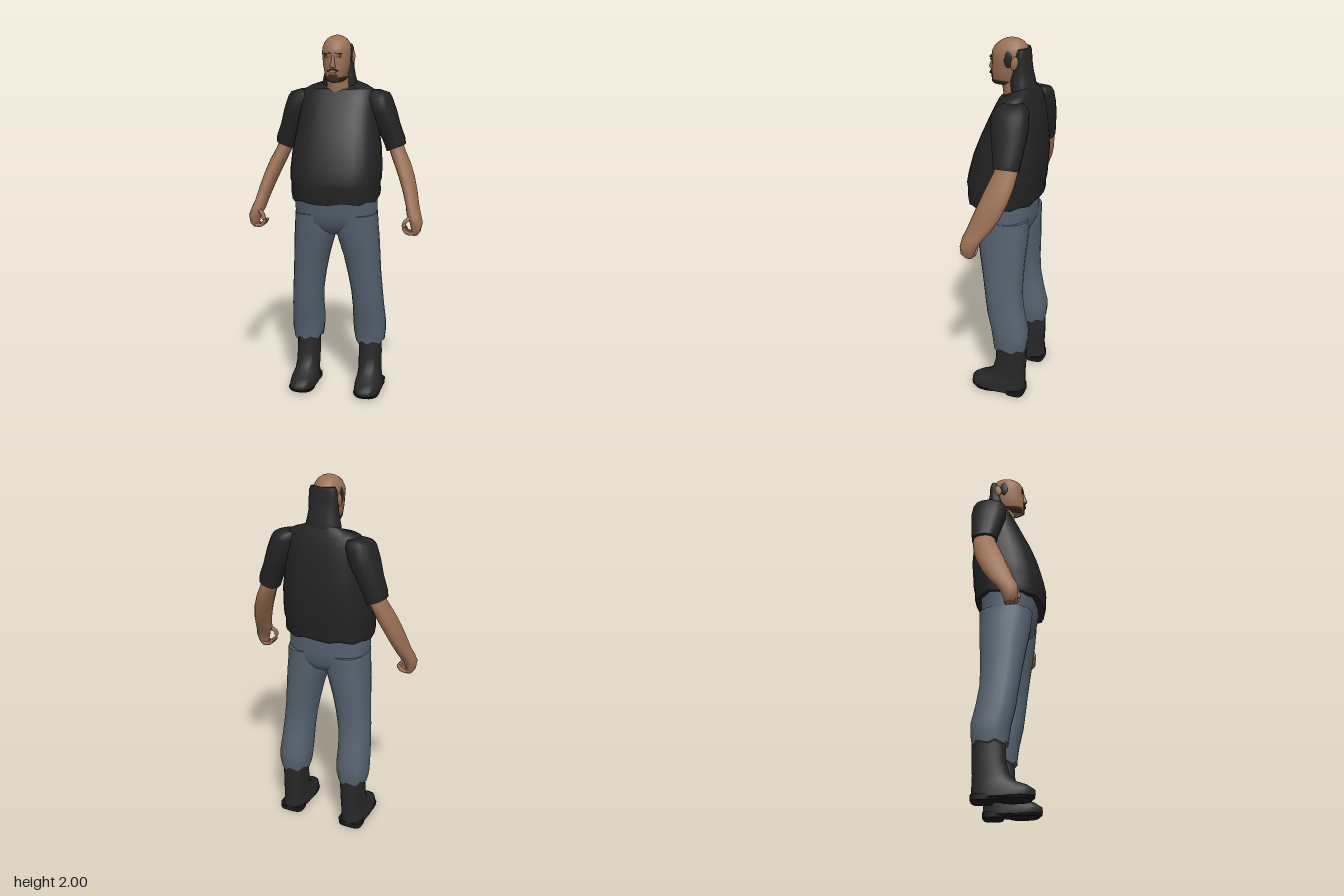
import * as THREE from 'three';

const mat = (name, color, side = THREE.FrontSide) => {
  const m = new THREE.MeshStandardMaterial({ color, side });
  m.name = name;
  return m;
};

// Skin over horizontal slices, listed bottom to top:
// [y, xMin, xMax, zBack, zFront, tiltX, tiltZ]. Angle 0 points to +z, then towards +x.
function loft(slices, { n = 20, power = 2, from = 0, arc = Math.PI * 2, jag = 0 } = {}) {
  const closed = arc > 6.28, cols = closed ? n : n + 1;
  const pos = [], idx = [];
  const bend = v => Math.sign(v) * Math.abs(v) ** (2 / power);
  slices.forEach(([y, x0, x1, z0, z1, tx = 0, tz = 0], r) => {
    for (let i = 0; i < cols; i++) {
      const a = from + arc * i / n, s = bend(Math.sin(a)), c = bend(Math.cos(a));
      const ragged = r === 0 ? jag * ((i * 2) % 3 - 1) : 0;
      pos.push((x0 + x1) / 2 + s * (x1 - x0) / 2, y + tx * s + tz * c + ragged, (z0 + z1) / 2 + c * (z1 - z0) / 2);
    }
  });
  for (let r = 0; r < slices.length - 1; r++) {
    for (let i = 0; i < n; i++) {
      const a = r * cols + i, b = r * cols + (i + 1) % cols, c = b + cols, d = a + cols;
      idx.push(a, b, c, a, c, d);
    }
  }
  // flat end caps with their own vertices
  if (closed) for (const r of [0, slices.length - 1]) {
    const [y, x0, x1, z0, z1] = slices[r], start = pos.length / 3;
    pos.push(...pos.slice(r * cols * 3, (r + 1) * cols * 3), (x0 + x1) / 2, y, (z0 + z1) / 2);
    for (let i = 0; i < n; i++) {
      const a = start + i, b = start + (i + 1) % n;
      idx.push(...(r ? [a, b, start + n] : [b, a, start + n]));
    }
  }
  const g = new THREE.BufferGeometry();
  g.setAttribute('position', new THREE.Float32BufferAttribute(pos, 3));
  g.setIndex(idx);
  g.computeVertexNormals();
  return g;
}

export function createModel() {
  const skin = mat('skin', 0x9a7054);
  const shirt = mat('black shirt', 0x232323);
  const denim = mat('blue denim', 0x55626f);
  const leather = mat('boot leather', 0x272727);
  const soleMat = mat('boot sole', 0x181818);
  const hair = mat('dark hair', 0x272626, THREE.DoubleSide);
  const beard = mat('beard', 0x3b2e27, THREE.DoubleSide);
  const lip = mat('lips and eye sockets', 0x6b4939);

  const model = new THREE.Group();
  model.name = 'standingMan';
  const add = (name, geometry, material, parent = model) => {
    const m = new THREE.Mesh(geometry, material);
    m.name = name;
    parent.add(m);
    return m;
  };
  const ball = (name, material, p, s) => {
    const m = add(name, new THREE.SphereGeometry(1, 12, 8), material);
    m.position.set(...p);
    m.scale.set(...s);
    return m;
  };
  const plate = (name, material, p, s, tilt = 0) => {
    const m = add(name, new THREE.BoxGeometry(...s), material);
    m.position.set(...p);
    m.rotation.z = tilt;
  };

  // Shirt body with a heavy belly
  add('shirtBody', loft([
    [1.135, -.238, .238, -.178, .195, 0, -.012], [1.165, -.243, .243, -.188, .203],
    [1.215, -.24, .24, -.188, .203], [1.235, -.247, .247, -.196, .206],
    [1.3, -.248, .248, -.2, .193], [1.4, -.241, .241, -.207, .165],
    [1.5, -.225, .225, -.2, .125], [1.6, -.21, .21, -.187, .078],
    [1.67, -.206, .206, -.17, .042], [1.71, -.198, .198, -.155, .02],
    [1.73, -.16, .16, -.145, .012, 0, -.012], [1.74, -.09, .09, -.13, .012, 0, -.035],
  ], { n: 28, power: 2.6, jag: .006 }), shirt);

  // Seat of the trousers
  add('trouserSeat', loft([
    [.93, -.05, .05, -.08, .06], [.955, -.13, .13, -.125, .105], [1, -.222, .222, -.148, .138],
    [1.06, -.226, .226, -.154, .15], [1.15, -.226, .226, -.155, .165],
  ], { n: 24, power: 2.5 }), denim);

  for (const [side, k] of [['left', 1], ['right', -1]]) {
    const flip = slices => k > 0 ? slices
      : slices.map(([y, a, b, c, d, tx = 0, tz = 0]) => [y, -b, -a, c, d, -tx, tz]);
    const part = (name, slices, material, opt) => add(side + name, loft(flip(slices), opt), material);

    part('TrouserLeg', [
      [.29, .1, .263, -.168, .018], [.34, .092, .27, -.175, .022], [.4, .088, .27, -.175, .032],
      [.5, .09, .262, -.152, .056], [.6, .083, .255, -.136, .07], [.7, .066, .247, -.135, .085],
      [.8, .045, .242, -.14, .102], [.9, .016, .237, -.146, .12], [.96, -.002, .232, -.148, .13],
      [1.05, 0, .226, -.15, .14],
    ], denim, { power: 2.4, jag: .009 });

    part('Boot', [
      [.015, .114, .264, -.168, .14], [.03, .113, .264, -.168, .152], [.055, .115, .26, -.167, .15],
      [.078, .118, .255, -.166, .115], [.095, .12, .25, -.165, .065], [.13, .121, .248, -.164, .026],
      [.2, .119, .246, -.168, .008], [.31, .118, .244, -.168, .002],
    ], leather, { power: 2.5 });
    part('BootHeel', [[0, .12, .26, -.167, -.06], [.03, .118, .262, -.167, -.05]], soleMat, { power: 3.5 });
    part('BootSole', [[.004, .12, .258, -.03, .13], [.02, .114, .265, -.06, .15]], soleMat, { power: 2.5 });

    part('Sleeve', [
      [1.4, .262, .364, -.165, -.032, .02], [1.44, .245, .36, -.17, -.025, .012],
      [1.52, .2, .334, -.18, -.01], [1.6, .16, .312, -.186, .008],
      [1.67, .14, .287, -.18, .01], [1.695, .14, .272, -.168, -.01], [1.71, .15, .225, -.145, -.04],
    ], shirt, { n: 16, power: 2.4 });

    part('Arm', [
      [.952, .425, .462, .035, .08], [.975, .43, .478, .025, .098], [1.02, .418, .487, .008, .102],
      [1.06, .398, .474, -.018, .095], [1.1, .39, .46, -.052, .076], [1.17, .367, .444, -.095, .05],
      [1.25, .336, .422, -.13, .02], [1.32, .305, .395, -.15, -.006], [1.39, .275, .36, -.16, -.034],
      [1.45, .255, .34, -.155, -.045],
    ], skin, { n: 14, power: 2.2 });

    // Curled fingers and thumb
    const digit = (name, points, r) => add(side + name, new THREE.TubeGeometry(
      new THREE.CatmullRomCurve3(points.map(([x, y, z]) => new THREE.Vector3(x * k, y, z))), 8, r, 6), skin);
    for (let i = 0; i < 4; i++) {
      const z = .036 + i * .017;
      digit('Finger', [[.455, .973, z], [.43, .963, z], [.403, .97, z], [.391, .988, z]], .01);
      ball(side + 'FingerTip', skin, [.391 * k, .988, z], [.01, .01, .01]);
    }
    digit('Thumb', [[.435, 1.05, .07], [.41, 1.04, .086], [.395, 1.024, .094], [.392, 1.008, .096]], .012);
    ball(side + 'ThumbTip', skin, [.392 * k, 1.008, .096], [.012, .012, .012]);

    // Ear, sideburn and eye
    ball(side + 'Ear', skin, [.079 * k, 1.885, -.058], [.01, .036, .02]).rotation.x = -.2;
    ball(side + 'Sideburn', hair, [.069 * k, 1.9, -.022], [.012, .045, .026]);
    plate(side + 'Eye', lip, [.03 * k, 1.89, .081], [.026, .01, .008]);
    plate(side + 'Eyebrow', beard, [.03 * k, 1.905, .082], [.034, .007, .008], -.1 * k);
    plate(side + 'Moustache', beard, [.014 * k, 1.821, .09], [.03, .008, .009], -.35 * k);
  }

  // Neck and bald head
  add('neck', loft([
    [1.63, -.075, .075, -.1, .03], [1.7, -.06, .06, -.1, .024], [1.79, -.058, .058, -.1, .035],
  ]), skin);
  add('head', loft([
    [1.757, -.03, .03, -.07, .074], [1.768, -.048, .048, -.09, .084], [1.8, -.062, .062, -.1, .087],
    [1.84, -.07, .07, -.105, .088], [1.88, -.075, .075, -.107, .084], [1.91, -.077, .077, -.108, .087],
    [1.935, -.075, .075, -.107, .083], [1.96, -.067, .067, -.1, .068], [1.98, -.052, .052, -.083, .045],
    [1.993, -.033, .033, -.06, .018], [2, -.008, .008, -.03, -.008],
  ], { n: 24, power: 2.15 }), skin);
  add('nose', loft([
    [1.832, -.014, .014, .065, .1], [1.842, -.016, .016, .065, .108], [1.865, -.01, .01, .065, .099],
    [1.9, -.007, .007, .065, .088],
  ], { n: 10 }), skin);

  // Long hair round the sides and back
  add('backHair', loft([
    [1.69, -.1, .1, -.145, -.04], [1.75, -.096, .096, -.143, -.025], [1.79, -.086, .086, -.136, -.022],
    [1.83, -.08, .08, -.126, -.03], [1.88, -.079, .079, -.117, -.045], [1.93, -.077, .077, -.114, -.055],
    [1.952, -.067, .067, -.107, -.065],
  ], { power: 2.5 }), hair);

  // Goatee, jaw beard and mouth
  add('goatee', loft([
    [1.753, -.03, .03, -.07, .078], [1.766, -.05, .05, -.092, .089], [1.798, -.064, .064, -.1, .091],
  ], { n: 8, from: -.42, arc: .84 }), beard);
  for (const from of [.42, -1.75]) add('jawBeard', loft([
    [1.756, -.032, .032, -.07, .075], [1.767, -.051, .051, -.09, .086], [1.785, -.06, .06, -.098, .088],
  ], { n: 8, from, arc: 1.33, power: 2.15 }), beard);
  plate('mouth', lip, [0, 1.807, .087], [.034, .009, .008]);

  return model;
}
